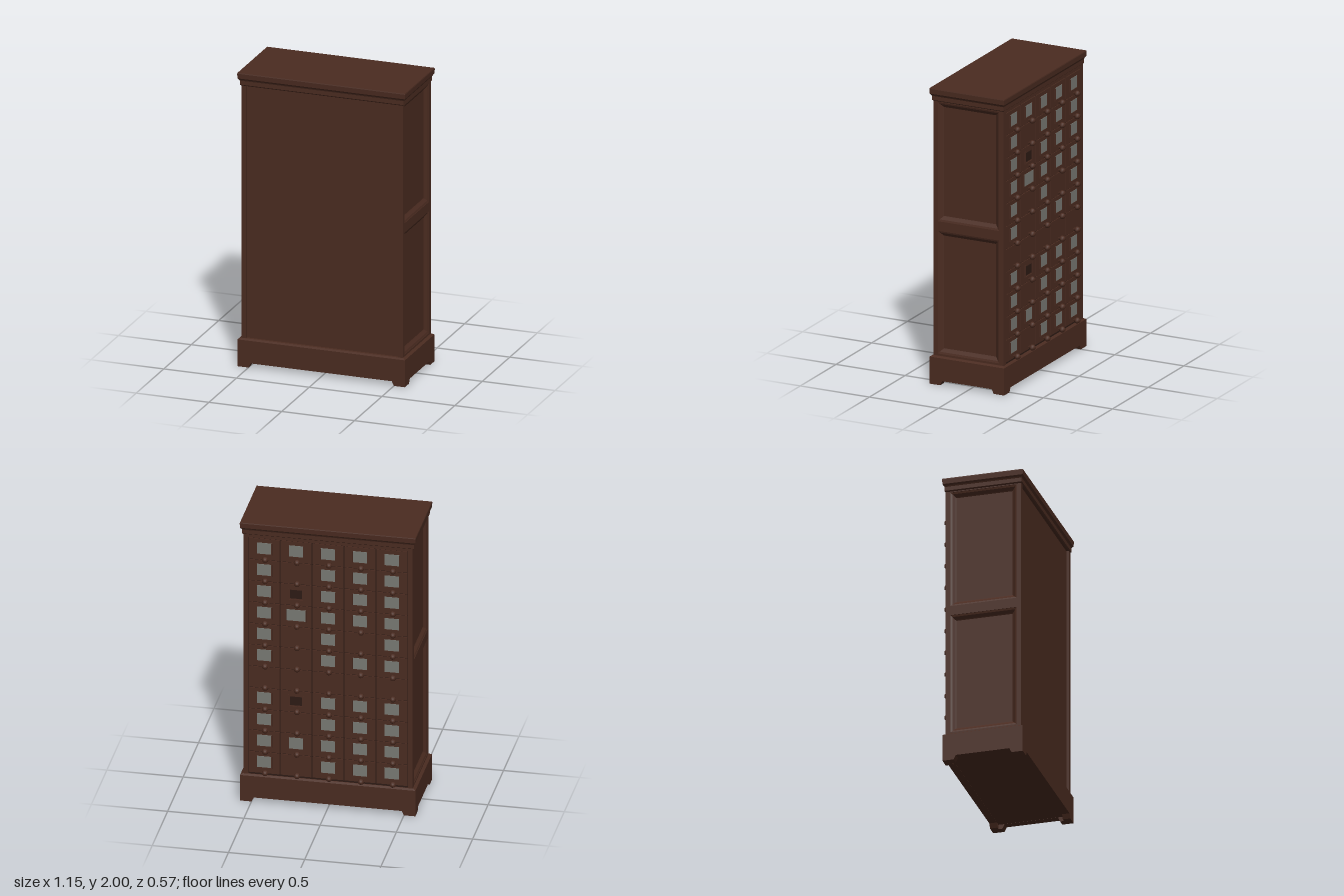
import * as THREE from 'three';

const wood = new THREE.MeshStandardMaterial({ color: 0x4a2b20 });
wood.name = 'dark brown wood';
const gap = new THREE.MeshStandardMaterial({ color: 0x2c1a14 });
gap.name = 'shadow brown wood';
const card = new THREE.MeshStandardMaterial({ color: 0x777872 });
card.name = 'grey label card';

// Box given by its limits
function box(name, x0, x1, y0, y1, z0, z1, mat = wood) {
  const m = new THREE.Mesh(new THREE.BoxGeometry(x1 - x0, y1 - y0, z1 - z0), mat);
  m.position.set((x0 + x1) / 2, (y0 + y1) / 2, (z0 + z1) / 2);
  m.name = name;
  return m;
}

// Stack of rectangles [height, halfWidth, halfDepth] along +y, with hard edges and a top face
function loft(name, sections) {
  const rings = sections.map(([y, w, d]) => [[-w, y, d], [w, y, d], [w, y, -d], [-w, y, -d]]);
  const pos = [];
  const quad = (a, b, c, d) => pos.push(...a, ...b, ...c, ...a, ...c, ...d);
  for (let i = 0; i < rings.length - 1; i++) {
    for (let k = 0; k < 4; k++) {
      const n = (k + 1) % 4;
      quad(rings[i][k], rings[i][n], rings[i + 1][n], rings[i + 1][k]);
    }
  }
  quad(...rings[rings.length - 1]);
  const g = new THREE.BufferGeometry();
  g.setAttribute('position', new THREE.Float32BufferAttribute(pos, 3));
  g.computeVertexNormals();
  const m = new THREE.Mesh(g, wood);
  m.name = name;
  return m;
}

// Plinth board with a bracket foot at each end
function apron(name, half) {
  const s = new THREE.Shape();
  const pts = [[-half, 0], [-half + 0.075, 0], [-half + 0.09, 0.03], [half - 0.09, 0.03],
    [half - 0.075, 0], [half, 0], [half, 0.18], [-half, 0.18]];
  s.setFromPoints(pts.map(([x, y]) => new THREE.Vector2(x, y)));
  const m = new THREE.Mesh(new THREE.ExtrudeGeometry(s, { depth: 0.05, bevelEnabled: false }), wood);
  m.name = name;
  return m;
}

export function createModel() {
  const model = new THREE.Group();
  model.name = 'drawerCabinet';

  // Plinth: four boards, a sloped cap and a floor level with the board edges
  const plinth = new THREE.Group();
  plinth.name = 'plinth';
  const zMid = 0.014, zHalf = 0.269, xHalf = 0.575;
  for (const s of [1, -1]) {
    const wide = apron('wideApron', xHalf);
    wide.position.set(0, 0, zMid + s * zHalf);
    wide.rotation.y = s > 0 ? Math.PI : 0;
    const side = apron('sideApron', zHalf);
    side.position.set(s * xHalf, 0, zMid);
    side.rotation.y = -s * Math.PI / 2;
    plinth.add(wide, side);
  }
  const cap = loft('plinthCap', [[0.178, xHalf, zHalf], [0.183, xHalf, zHalf], [0.192, 0.56, 0.255]]);
  cap.position.z = zMid;
  plinth.add(cap, box('floor', -0.53, 0.53, 0.031, 0.05, -0.21, 0.24));
  model.add(plinth);

  // Large plain front panel, set back between the posts
  model.add(box('frontPanel', -0.525, 0.525, 0.19, 1.915, 0.23, 0.25));

  for (const s of [1, -1]) {
    const side = new THREE.Group();
    side.name = s > 0 ? 'leftSide' : 'rightSide';
    const span = (name, y0, y1, z0, z1) => {
      const a = s * 0.523, b = s * 0.555;
      side.add(box(name, Math.min(a, b), Math.max(a, b), y0, y1, z0, z1));
    };
    // Corner posts and rails
    span('frontPost', 0.185, 1.93, 0.235, 0.267);
    span('backPost', 0.185, 1.93, -0.242, -0.207);
    span('topRail', 1.905, 1.93, -0.21, 0.24);
    span('middleRail', 1.035, 1.1, -0.21, 0.24);
    span('bottomRail', 0.185, 0.205, -0.21, 0.24);
    // Sunk panels with a sloping moulding around a flat field
    for (const [y0, y1] of [[0.205, 1.035], [1.1, 1.905]]) {
      const h = (y1 - y0) / 2;
      const panel = loft('sidePanel', [[0.552, h, 0.222], [0.548, h - 0.012, 0.21],
        [0.535, h - 0.028, 0.194], [0.531, h - 0.034, 0.188]]);
      panel.rotation.z = -s * Math.PI / 2;
      panel.position.set(0, (y0 + y1) / 2, 0.014);
      side.add(panel);
    }
    model.add(side);
  }

  // Cornice and top
  const cornice = loft('cornice', [[1.91, 0.53, 0.23], [1.911, 0.555, 0.253], [1.918, 0.563, 0.259],
    [1.945, 0.563, 0.259], [1.952, 0.567, 0.262], [1.962, 0.575, 0.269], [1.994, 0.577, 0.271],
    [2, 0.575, 0.269]]);
  cornice.position.z = zMid;
  model.add(cornice);

  // Drawer wall: dark backing, fronts, labels and knobs; columns run from +x to -x
  const drawers = new THREE.Group();
  drawers.name = 'drawers';
  drawers.add(box('drawerBacking', -0.525, 0.525, 0.19, 1.915, -0.236, -0.22, gap));
  drawers.add(box('drawerTopRail', -0.525, 0.525, 1.893, 1.915, -0.242, -0.23));
  const labelled = ['11111101111', '10010000010', '11111101111', '11110101111', '11111101111'];
  const emptySlots = [[], [2, 7], [], [], []];
  const knobProfile = [[0.009, 0], [0.01, 0.008], [0.018, 0.014], [0.021, 0.022],
    [0.018, 0.032], [0.011, 0.041], [0, 0.043]].map(([r, y]) => new THREE.Vector2(r, y));
  const knobGeometry = new THREE.LatheGeometry(knobProfile, 10);
  const pitchX = 0.2095, pitchY = 0.1535;
  for (let c = 0; c < 5; c++) {
    const x = (2 - c) * pitchX;
    for (let r = 0; r < 11; r++) {
      const y = 1.815 - r * pitchY;
      const drawer = new THREE.Group();
      drawer.name = 'drawer';
      drawer.add(box('drawerFront', x - 0.101, x + 0.101, y - 0.074, y + 0.074, -0.242, -0.23));
      const knob = new THREE.Mesh(knobGeometry, wood);
      knob.name = 'knob';
      knob.rotation.x = -Math.PI / 2;
      knob.position.set(x - 0.01, y - 0.062, -0.242);
      drawer.add(knob);
      const hasCard = labelled[c][r] === '1';
      const isEmpty = emptySlots[c].includes(r);
      const w = c === 1 && r === 3 ? 0.065 : 0.048;
      if (hasCard) drawer.add(box('label', x - w, x + w, y - 0.033, y + 0.047, -0.245, -0.241, card));
      if (isEmpty) drawer.add(box('emptySlot', x - 0.04, x + 0.04, y - 0.025, y + 0.035, -0.245, -0.241, gap));
      if (hasCard || isEmpty) {
        // Thin holder rails around the label
        drawer.add(box('holderBottom', x - w - 0.005, x + w + 0.005, y - 0.039, y - 0.032, -0.248, -0.241));
        for (const s of [1, -1]) {
          const e = x + s * (w + 0.002);
          drawer.add(box('holderSide', e - 0.003, e + 0.003, y - 0.039, y + 0.047, -0.248, -0.241));
        }
      }
      drawers.add(drawer);
    }
  }
  model.add(drawers);
  return model;
}
